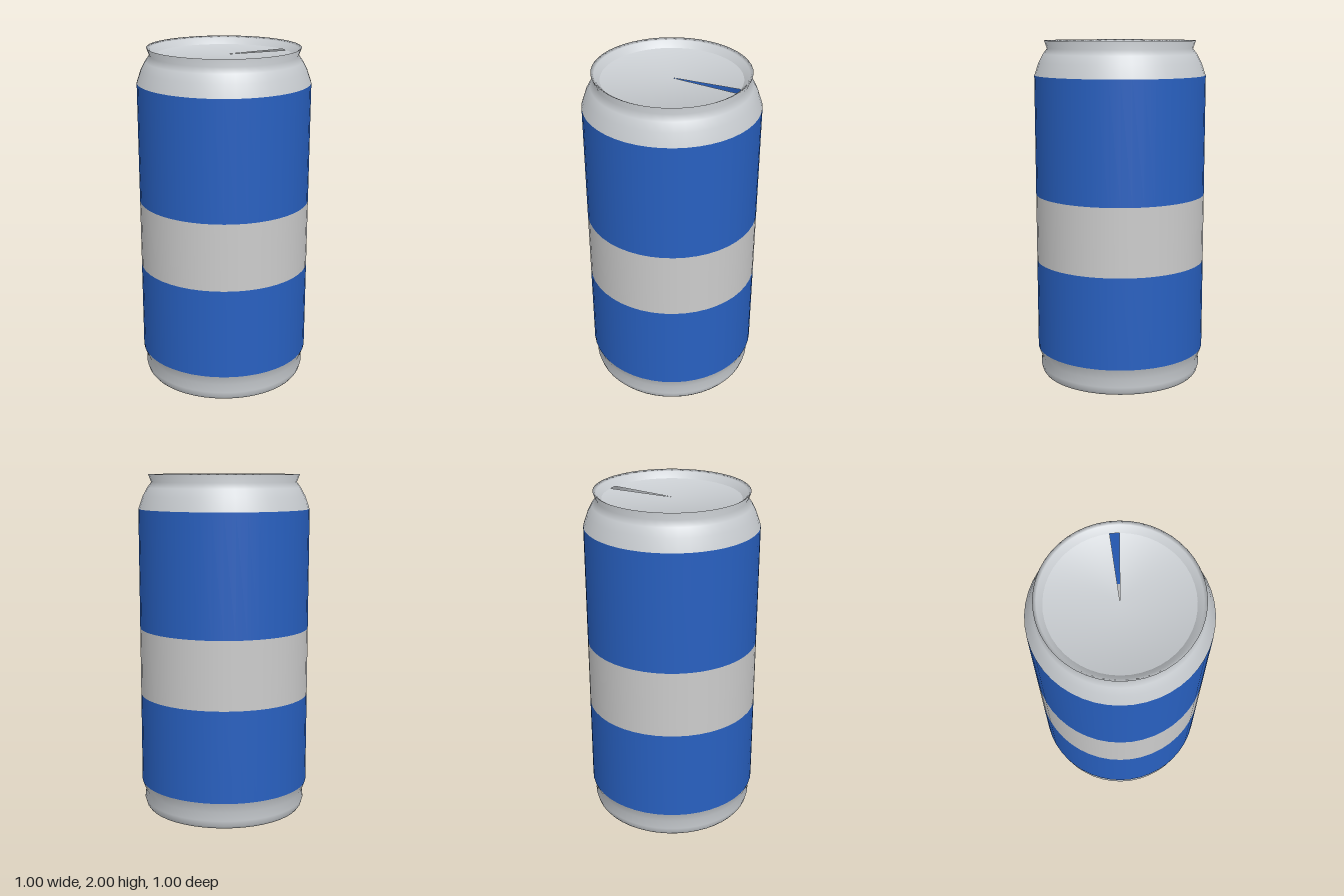
import * as THREE from 'three';

const SIDES = 48;
const STEP = (Math.PI * 2) / SIDES;
const R = 0.502;

const material = (color) => new THREE.MeshStandardMaterial({ color, side: THREE.DoubleSide });

// Revolve a list of [radius, height] points around the vertical axis
function turned(name, points, mat, skipped = 0) {
  const profile = points.map(([r, y]) => new THREE.Vector2(r, y));
  const start = skipped ? Math.PI / 2 + skipped * STEP : 0;
  const geometry = new THREE.LatheGeometry(profile, SIDES - skipped, start, (SIDES - skipped) * STEP);
  const mesh = new THREE.Mesh(geometry, mat);
  mesh.name = name;
  return mesh;
}

// Flat disc with one open wedge; its rim normals lean inward to blend with the rim
function disc(name, points, mat) {
  const mesh = turned(name, points, mat, 1);
  const { position: p, normal: n } = mesh.geometry.attributes;
  const v = new THREE.Vector3();
  for (let i = 0; i < p.count; i++) {
    v.set(-p.getX(i), Math.sign(n.getY(i)), -p.getZ(i)).normalize();
    n.setXYZ(i, v.x, v.y, v.z);
  }
  return mesh;
}

export function createModel() {
  const can = new THREE.Group();
  can.name = 'drinkCan';
  const metal = material(0xc8ccd0);
  const blue = material(0x2860c0);
  const grey = material(0xc8c8c8);

  // Foot: lower rim, groove and flare up to the body
  can.add(turned('foot', [
    [0.4, 0.03], [0.45, 0.005], [0.465, 0], [0.476, 0.015], [0.486, 0.05], [0.48, 0.1], [R, 0.16],
  ], metal));
  can.add(disc('bottomDisc', [[0, 0.03], [0.4, 0.03]], metal));

  // Body: three straight bands
  can.add(turned('lowerBand', [[R, 0.16], [R, 0.7]], blue));
  can.add(turned('middleBand', [[R, 0.7], [R, 1.1]], grey));
  can.add(turned('upperBand', [[R, 1.1], [R, 1.8]], blue));

  // Shoulder, neck and top rim
  can.add(turned('shoulder', [
    [R, 1.8], [0.476, 1.875], [0.45, 1.923], [0.426, 1.955], [0.443, 2], [0.425, 1.99], [0.395, 1.955],
  ], metal));
  can.add(disc('lid', [[0.395, 1.955], [0, 1.955]], metal));

  return can;
}
